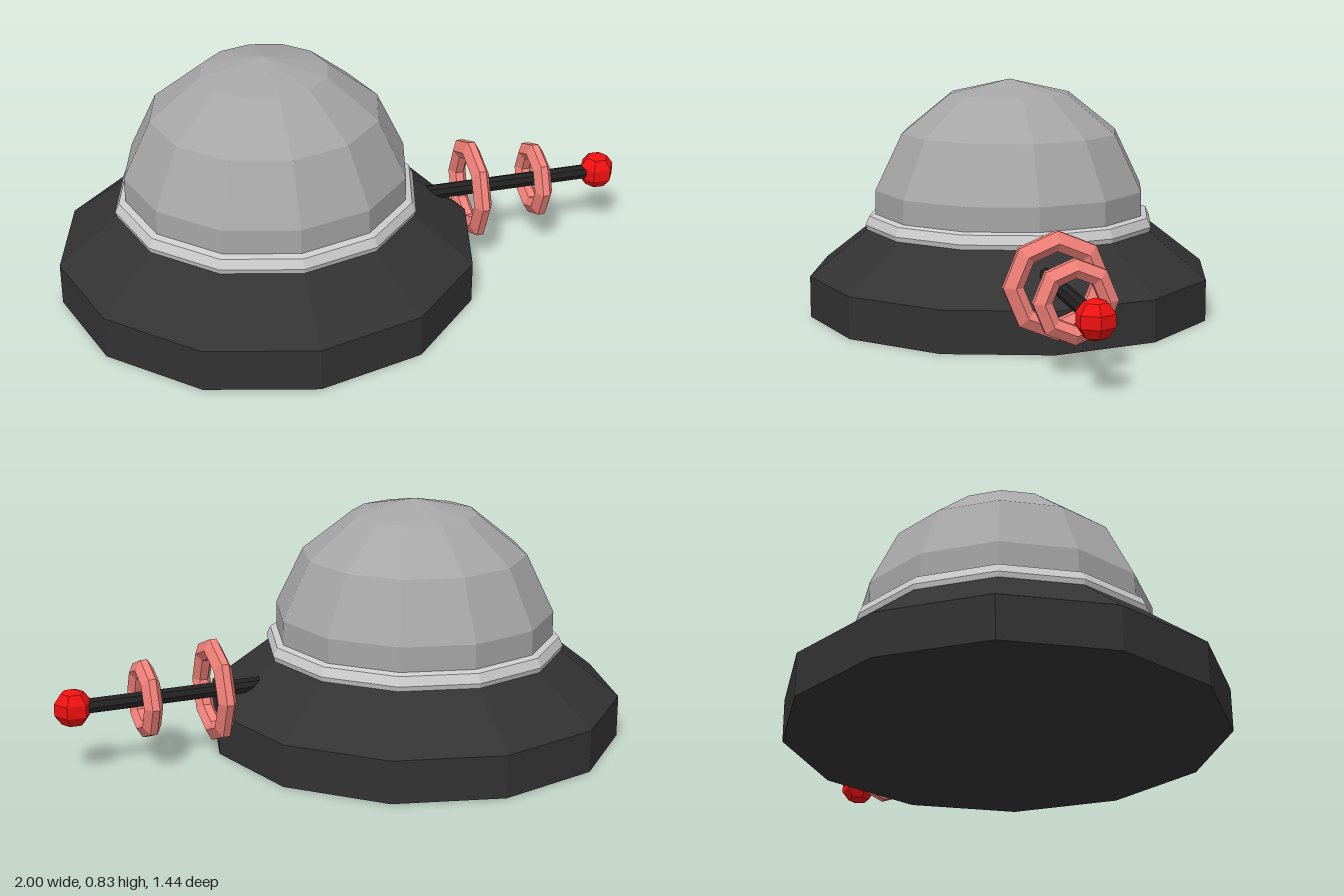
import * as THREE from 'three';

const CENTER_X = -0.28;
const ARM_Y = 0.233;

function material(color) {
  return new THREE.MeshStandardMaterial({ color, flatShading: true });
}

function addMesh(parent, name, geometry, mat, x, y) {
  const mesh = new THREE.Mesh(geometry, mat);
  mesh.name = name;
  mesh.position.set(x, y, 0);
  parent.add(mesh);
  return mesh;
}

// Profile points are [radius, height], listed counterclockwise.
function lathe(points, sides) {
  return new THREE.LatheGeometry(points.map(([r, y]) => new THREE.Vector2(r, y)), sides);
}

export function createModel() {
  const model = new THREE.Group();
  model.name = 'domedEmitter';

  const dark = material(0x333333);
  const rodDark = material(0x222222);
  const domeGrey = material(0xa6a6a6);
  const bandGrey = material(0xcccccc);
  const pink = material(0xf08078);
  const red = material(0xf01010);

  // Twelve-sided base: upright rim, then a sloping shoulder
  addMesh(model, 'base', lathe([[0, 0], [0.72, 0], [0.72, 0.145], [0.515, 0.305], [0, 0.305]], 12),
    dark, CENTER_X, 0);

  // Collar around the foot of the dome
  addMesh(model, 'collar', lathe(
    [[0.48, 0.3], [0.516, 0.305], [0.521, 0.322], [0.507, 0.353], [0.48, 0.361]], 12),
    bandGrey, CENTER_X, 0);

  // Faceted dome, ending inside the base
  addMesh(model, 'dome', new THREE.SphereGeometry(0.497, 12, 4, 0, Math.PI * 2, 0, Math.PI * 4 / 7),
    domeGrey, CENTER_X, 0.333);

  // Arm pointing out of the model's left side
  const rod = addMesh(model, 'armRod', new THREE.CylinderGeometry(0.026, 0.026, 0.73, 8),
    rodDark, 0.565, ARM_Y);
  rod.rotation.z = -Math.PI / 2;

  // Two free-standing octagonal rings around the arm: [x, outer, middle, inner radius]
  const rings = [['largeRing', 0.455, 0.178, 0.14, 0.112], ['smallRing', 0.695, 0.135, 0.102, 0.075]];
  for (const [name, x, outer, middle, inner] of rings) {
    const profile = [[inner, -0.014], [middle, -0.032], [outer, -0.012], [outer, 0.012],
      [middle, 0.032], [inner, 0.014], [inner, -0.014]];
    const ring = addMesh(model, name, lathe(profile, 8), pink, x, ARM_Y);
    ring.rotation.z = -Math.PI / 2;
  }

  // Red ball at the tip
  addMesh(model, 'tipBall', new THREE.SphereGeometry(0.065, 6, 5), red, 0.938, ARM_Y);

  return model;
}
